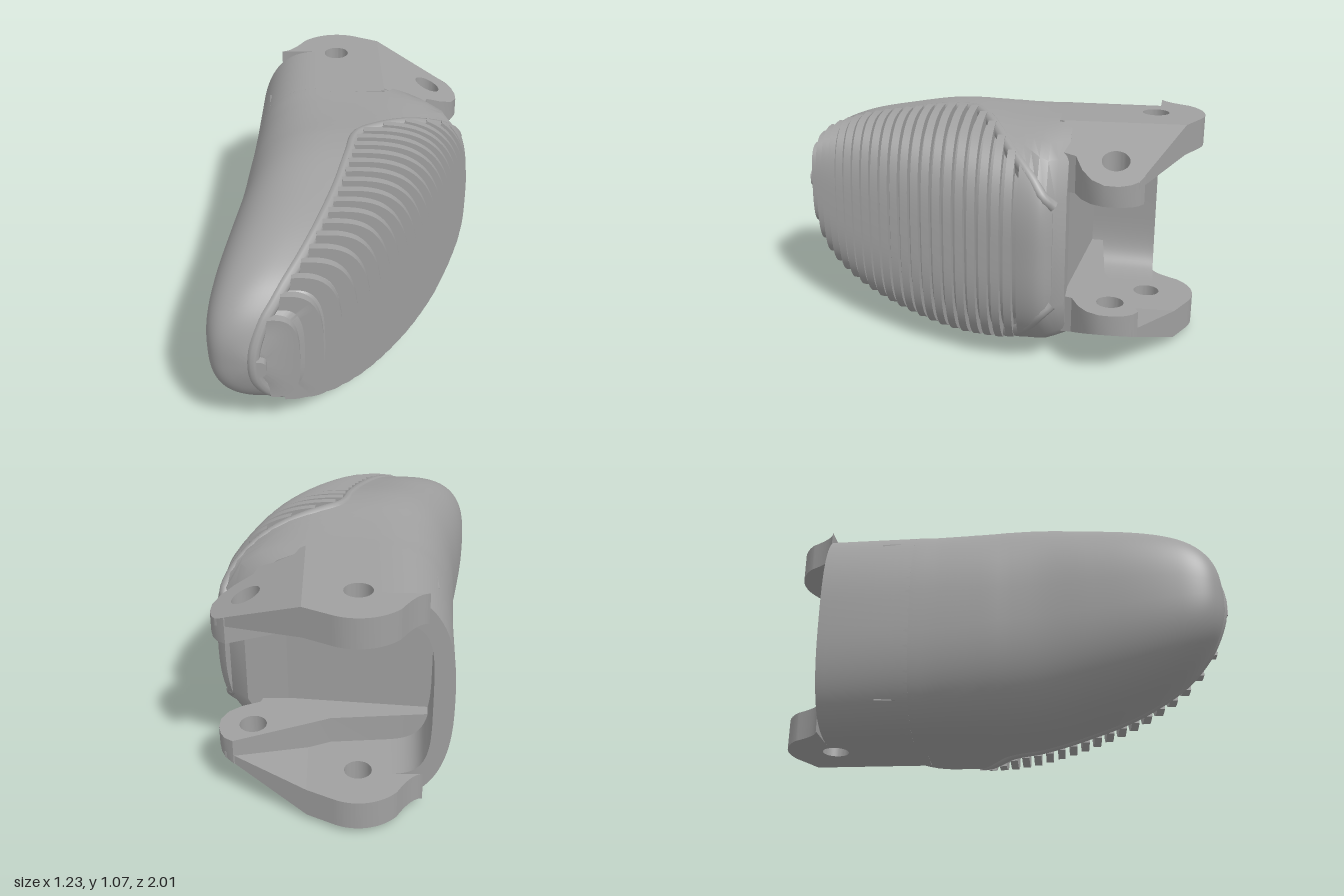
import * as THREE from 'three';
import { toCreasedNormals } from 'three/addons/utils/BufferGeometryUtils.js';

const MID = 0.535; // height of the plane of symmetry

// stations along z: [z, left x, right x, left crown x, right crown x, half height, pad rim x]
const STATIONS = [
  [-0.81, -0.42, 0.4, -0.1, 0, 0.51, 0.4],
  [-0.42, -0.445, 0.5, -0.1, 0, 0.51, 0.48],
  [-0.36, -0.45, 0.585, -0.1, 0.02, 0.51, 0.565],
  [-0.3, -0.455, 0.612, -0.09, 0.04, 0.51, 0.57],
  [-0.15, -0.47, 0.58, -0.08, 0.05, 0.515, 0.42],
  [-0.03, -0.483, 0.535, -0.06, 0.05, 0.522, 0.2],
  [0.05, -0.49, 0.5, -0.06, 0.04, 0.525, 0.07],
  [0.2, -0.51, 0.43, -0.08, 0, 0.515, 0.02],
  [0.4, -0.55, 0.31, -0.13, -0.03, 0.475, -0.04],
  [0.6, -0.588, 0.16, -0.2, -0.1, 0.425, -0.12],
  [0.75, -0.608, 0.03, -0.28, -0.19, 0.365, -0.2],
  [0.85, -0.61, -0.09, -0.33, -0.26, 0.305, -0.27],
  [0.92, -0.59, -0.2, -0.38, -0.32, 0.23, -0.33],
  [0.96, -0.55, -0.28, -0.4, -0.37, 0.16, -0.375],
  [0.985, -0.48, -0.34, -0.41, -0.4, 0.08, -0.395],
  [0.995, -0.43, -0.37, -0.41, -0.4, 0.03, -0.4],
];

// smooth interpolation between stations
function station(z) {
  const S = STATIONS, last = S.length - 1;
  let i = 0;
  while (i < last - 1 && z > S[i + 1][0]) i++;
  const dz = S[i + 1][0] - S[i][0];
  const t = THREE.MathUtils.clamp((z - S[i][0]) / dz, 0, 1);
  const slope = (k, c) => {
    const a = S[Math.max(k - 1, 0)], b = S[Math.min(k + 1, last)];
    return (b[c] - a[c]) / (b[0] - a[0]);
  };
  const v = [1, 2, 3, 4, 5, 6].map(c => {
    const p = S[i][c], q = S[i + 1][c], t2 = t * t, t3 = t2 * t;
    return p * (2 * t3 - 3 * t2 + 1) + q * (3 * t2 - 2 * t3)
      + dz * (slope(i, c) * (t3 - 2 * t2 + t) + slope(i + 1, c) * (t3 - t2));
  });
  const [xl, xr, cl, cr, h, rim] = v;
  return { xl, xr, cl, cr, h, rim: Math.min(rim, xr - 0.01) };
}

// half height of a section at x
function halfHeight(s, x, nL = 2.6, nR = 3) {
  if (x < s.cl) return s.h * Math.max(0, 1 - Math.min(1, (s.cl - x) / (s.cl - s.xl)) ** nL) ** (1 / nL);
  if (x > s.cr) return s.h * Math.max(0, 1 - Math.min(1, (x - s.cr) / (s.xr - s.cr)) ** nR) ** (1 / nR);
  return s.h;
}

const N = 22;
// shell section: left edge round to the rim
function shellRing(z) {
  const s = station(z), half = [];
  for (let i = 0; i <= N; i++) {
    const x = s.xl + (s.rim - s.xl) * (i / N) ** 2;
    half.push([x, i ? halfHeight(s, x) : 0]);
  }
  return [...half.map(([x, y]) => [x, MID - y, z]),
    ...half.slice(1).reverse().map(([x, y]) => [x, MID + y, z])];
}
// pad section: rim round to the right edge, grown by d
function padRing(zSection, z, d) {
  const s = station(zSection), half = [];
  s.xr += d;
  s.h = Math.max(0.01, s.h + d);
  s.rim = Math.min(s.rim, s.xr - 0.005);
  for (let i = 0; i <= N; i++) {
    const x = s.xr - (s.xr - s.rim) * (1 - i / N) ** 2;
    half.push([x, i < N ? halfHeight(s, x) : 0]);
  }
  return [...half.map(([x, y]) => [x, MID - y, z]),
    ...half.slice(0, -1).reverse().map(([x, y]) => [x, MID + y, z])];
}
// rear wall section: a C open to the right
function wallRing(z) {
  const s = station(z), outer = [], inner = [];
  const t = { ...s, xl: s.xl + 0.09, h: 0.375 };
  for (let i = 0; i <= N; i++) {
    const u = (i / N) ** 2;
    const xo = s.xl + (s.cl - s.xl) * u, xi = t.xl + (t.cl - t.xl) * u;
    outer.push([xo, i ? halfHeight(s, xo) : 0]);
    inner.push([xi, i ? halfHeight(t, xi, 4) : 0]);
  }
  const low = ([x, y]) => [x, MID - y, z], high = ([x, y]) => [x, MID + y, z];
  return [...outer.slice().reverse().map(high), ...outer.slice(1).map(low),
    ...inner.slice().reverse().map(low), ...inner.slice(1).map(high)];
}

// solid through rings of equal length, with flat ends
function loft(rings, crease = 0.6) {
  const n = rings[0].length, index = [];
  for (let r = 0; r < rings.length - 1; r++) {
    for (let i = 0; i < n; i++) {
      const a = r * n + i, b = r * n + (i + 1) % n;
      index.push(a, b, b + n, a, b + n, a + n);
    }
  }
  const cap = (ring, base, flip) => {
    const pts = ring.map(p => new THREE.Vector2(p[0], p[1]));
    for (const [a, b, c] of THREE.ShapeUtils.triangulateShape(pts, [])) {
      index.push(base + a, base + (flip ? c : b), base + (flip ? b : c));
    }
  };
  cap(rings[0], 0, true);
  cap(rings[rings.length - 1], (rings.length - 1) * n, false);
  const g = new THREE.BufferGeometry();
  g.setAttribute('position', new THREE.Float32BufferAttribute(rings.flat(2), 3));
  g.setIndex(index);
  return toCreasedNormals(g.toNonIndexed(), crease);
}

// plate with a plan outline (plan y = -z), faces set by rules lo(x) and hi(x); side -1 mirrors it below
function plate(shape, lo, hi, side) {
  const g = new THREE.ExtrudeGeometry(shape, { depth: 1, bevelEnabled: false, curveSegments: 24 });
  g.rotateX(-Math.PI / 2);
  const p = g.attributes.position;
  for (let i = 0; i < p.count; i++) {
    const x = p.getX(i), upper = p.getY(i) > 0.5;
    p.setY(i, side > 0 ? (upper ? hi(x) : lo(x)) : 2 * MID - (upper ? lo(x) : hi(x)));
  }
  return toCreasedNormals(g, 0.5);
}
const outline = pts => new THREE.Shape(pts.map(([x, y]) => new THREE.Vector2(x, y)));
function drill(shape, x, y) {
  shape.holes.push(new THREE.Path().absarc(x, y, 0.06, 0, Math.PI * 2, true));
  return shape;
}

export function createModel() {
  const model = new THREE.Group();
  const grey = new THREE.MeshStandardMaterial({ color: 0xa0a0a0 });
  grey.name = 'grey';
  const add = (name, geometry) => {
    const mesh = new THREE.Mesh(geometry, grey);
    mesh.name = name;
    model.add(mesh);
  };
  const steps = (a, b, n) => Array.from({ length: n + 1 }, (_, i) => a + (b - a) * i / n);

  // smooth outer shell, closer sections toward the tip
  add('shell', loft(steps(0, 1, 56).map(u => shellRing(-0.42 + 1.415 * (1 - (1 - u) ** 1.6)))));

  // gripping pad: solid heel, then fins separated by slots
  const rings = steps(-0.37, -0.22, 6).map(z => padRing(z, z, 0.003));
  const pitch = 0.056, fin = 0.034;
  for (let z = -0.22; z < 0.96; z += pitch) {
    const a = z + pitch - fin, b = z + pitch;
    rings.push(padRing(z, z, -0.04), padRing(a, a, -0.04));
    rings.push(padRing((a + b) / 2, a, 0.01), padRing((a + b) / 2, b, 0.01));
  }
  add('ribbedPad', loft(rings, 0.5));

  // rounded rim between shell and pad, over the top, round the tip and back below
  const rim = side => steps(-0.36, 0.985, 30).map(z => {
    const s = station(z);
    return new THREE.Vector3(s.rim - 0.015, MID + side * (halfHeight(s, s.rim) - 0.016), z - 0.01);
  });
  const rimCurve = new THREE.CatmullRomCurve3([...rim(1), ...rim(-1).reverse()]);
  add('padRim', new THREE.TubeGeometry(rimCurve, 160, 0.027, 10));

  // rear side wall and slanted end of the fork opening
  add('rearWall', loft(steps(-0.81, -0.4, 10).map(wallRing)));
  add('forkEnd', plate(outline([[-0.37, 0.5], [0.46, 0.4], [0.46, 0.36], [-0.37, 0.36]]),
    () => 0.28, () => 0.79, 1));

  // hinge lugs, above and below
  const top = x => 1.045 - 0.45 * Math.max(0, x - 0.2);
  for (const side of [1, -1]) {
    const where = side > 0 ? 'upper' : 'lower';
    const main = new THREE.Shape();
    main.moveTo(0.2, 0.36);
    main.lineTo(0.2, 0.912);
    main.absarc(-0.02, 0.78, 0.22, Math.PI / 3, Math.PI * 0.767, false);
    main.quadraticCurveTo(-0.25, 0.81, -0.3, 0.81);
    main.lineTo(-0.1, 0.8);
    main.lineTo(-0.1, 0.36);
    add(where + 'MainLug', plate(drill(main, -0.02, 0.78), () => 0.91, top, side));

    // thin web between the two lugs
    add(where + 'LugWeb', plate(outline([[0.2, 0.62], [0.52, 0.745], [0.56, 0.72], [0.2, 0.912]]),
      x => Math.min(0.91, top(x) - 0.03), top, side));

    // thick inner step and the sloping side lug
    add(where + 'InnerStep', plate(outline([[-0.36, 0.36], [0.2, 0.36], [0.2, 0.62], [0.1, 0.58], [-0.36, 0.55]]),
      () => 0.78, () => 0.93, side));
    const sideLug = outline([[0.2, 0.38], [0.4, 0.39], [0.42, 0.45], [0.5, 0.483], [0.555, 0.525],
      [0.585, 0.58], [0.588, 0.64], [0.575, 0.69], [0.555, 0.722], [0.52, 0.745], [0.2, 0.62]]);
    add(where + 'SideLug', plate(drill(sideLug, 0.44, 0.62), () => 0.78, top, side));
  }
  return model;
}
